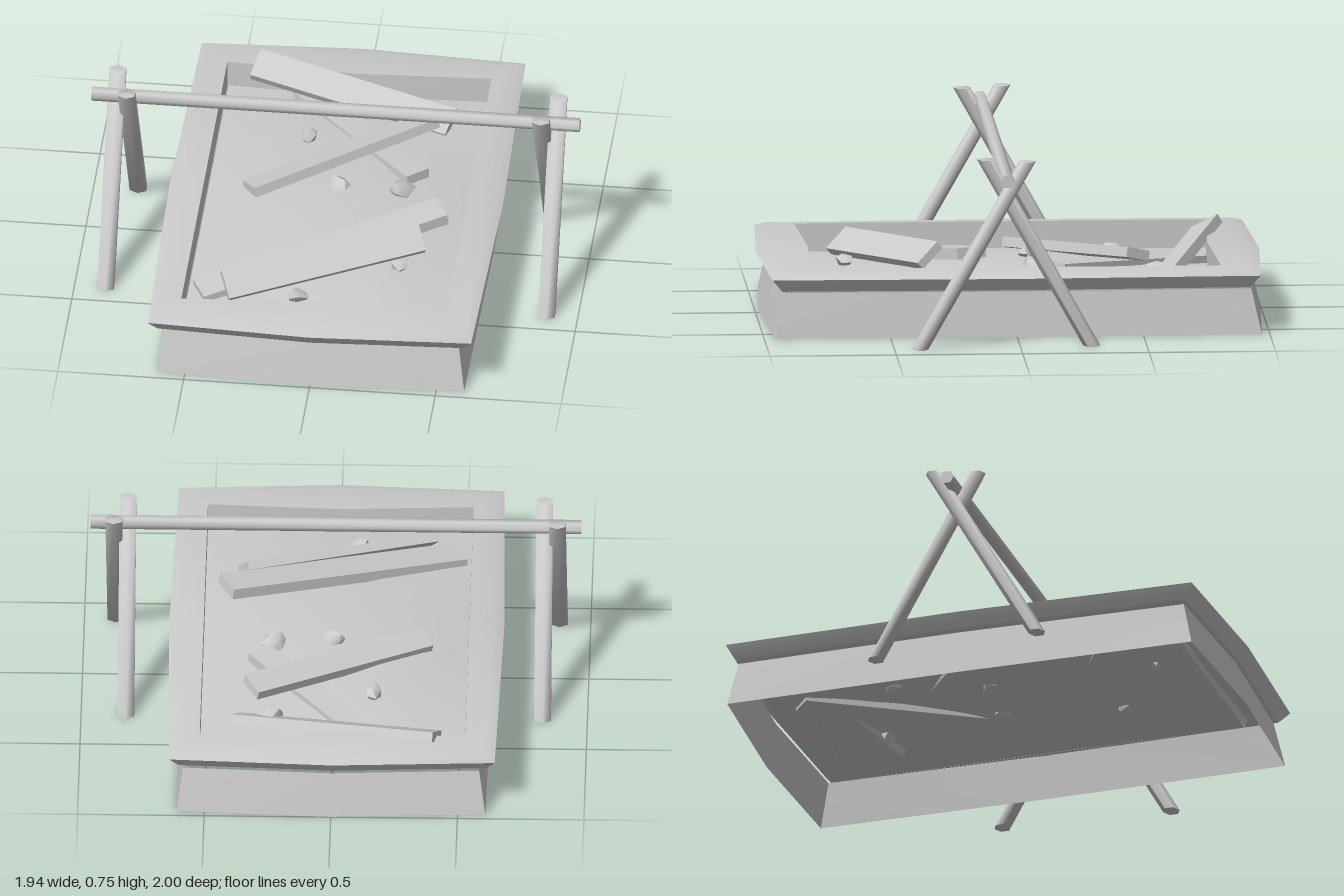
import * as THREE from 'three';
import { toCreasedNormals } from 'three/addons/utils/BufferGeometryUtils.js';

const grey = new THREE.MeshStandardMaterial({ color: 0xcccccc });
const greyDouble = new THREE.MeshStandardMaterial({ color: 0xcccccc, side: THREE.DoubleSide });

// Eight-point rectangular outline: corners (cx, cz) and side middles (mx, mz)
function outline([y, cx, cz, mx, mz]) {
  return [
    [cx, cz], [mx, 0], [cx, -cz], [0, -mz],
    [-cx, -cz], [-mx, 0], [-cx, cz], [0, mz],
  ].map(([x, z]) => [x, y, z]);
}

// Skin a series of outlines into a ring
function loft(levels, crease) {
  const loops = levels.map(outline);
  const n = loops[0].length;
  const pos = [];
  for (let l = 0; l < loops.length - 1; l++) {
    for (let i = 0; i < n; i++) {
      const j = (i + 1) % n;
      const a = loops[l][i], b = loops[l][j], c = loops[l + 1][j], d = loops[l + 1][i];
      pos.push(...a, ...b, ...c, ...a, ...c, ...d);
    }
  }
  const geo = new THREE.BufferGeometry();
  geo.setAttribute('position', new THREE.Float32BufferAttribute(pos, 3));
  geo.computeVertexNormals();
  return toCreasedNormals(geo, crease);
}

function add(parent, name, geo, mat = grey) {
  const mesh = new THREE.Mesh(geo, mat);
  mesh.name = name;
  parent.add(mesh);
  return mesh;
}

// Height of the gently mounded pit floor
const floorHeight = (x, z) => 0.15 + 0.07 * (1 - (x / 0.525) ** 2) * (1 - (z / 0.815) ** 2);

// Board between two end centres, rolled about its length
function plank(parent, from, to, width, thickness, roll) {
  const p = new THREE.Vector3(...from), q = new THREE.Vector3(...to);
  const along = q.clone().sub(p).normalize();
  const across = new THREE.Vector3().crossVectors(along, new THREE.Vector3(0, 1, 0)).normalize();
  const up = new THREE.Vector3().crossVectors(across, along);
  const mesh = add(parent, 'plank', new THREE.BoxGeometry(p.distanceTo(q), thickness, width));
  mesh.quaternion.setFromRotationMatrix(new THREE.Matrix4().makeBasis(along, up, across));
  mesh.rotateX(roll);
  mesh.position.copy(p).add(q).multiplyScalar(0.5);
}

// Lumpy pebble half sunk in the floor
function stone(parent, x, z, r, seed) {
  const geo = new THREE.IcosahedronGeometry(r, 0);
  const p = geo.attributes.position;
  const v = new THREE.Vector3();
  for (let i = 0; i < p.count; i++) {
    v.fromBufferAttribute(p, i);
    const k = 1 + 0.22 * Math.sin(v.x / r * 5 + v.y / r * 3 + v.z / r * 7 + seed);
    p.setXYZ(i, v.x * k * 1.05, v.y * k * 0.75, v.z * k * 0.85);
  }
  const mesh = add(parent, 'stone', toCreasedNormals(geo, 0.9));
  mesh.position.set(x, floorHeight(x, z) + 0.3 * r, z);
  mesh.rotation.y = seed;
}

export function createModel() {
  const model = new THREE.Group();

  // Open-bottomed base walls, leaning inwards
  const base = add(model, 'baseWall', loft([
    [0, 0.61, 0.962, 0.62, 0.992],
    [0.18, 0.585, 0.922, 0.602, 0.952],
  ], 0.1), greyDouble);
  base.position.z = -0.006;

  // Rounded rim with flat underside and inner wall
  const rim = add(model, 'rim', loft([
    [0.15, 0.525, 0.815, 0.525, 0.79],
    [0.182, 0.53, 0.825, 0.535, 0.81],
    [0.188, 0.605, 0.925, 0.62, 0.955],
    [0.205, 0.62, 0.938, 0.635, 0.97],
    [0.24, 0.643, 0.965, 0.662, 0.995],
    [0.254, 0.61, 0.92, 0.625, 0.95],
    [0.263, 0.525, 0.815, 0.525, 0.79],
    [0.15, 0.525, 0.815, 0.525, 0.79],
  ], 0.6), greyDouble);
  rim.position.set(-0.004, 0, 0.003);

  // Mounded floor of the pit
  const floorGeo = new THREE.PlaneGeometry(1.05, 1.63, 6, 8).rotateX(-Math.PI / 2);
  const fp = floorGeo.attributes.position;
  for (let i = 0; i < fp.count; i++) fp.setY(i, floorHeight(fp.getX(i), fp.getZ(i)));
  floorGeo.computeVertexNormals();
  add(model, 'floor', floorGeo, greyDouble);

  // Crossed legs with level ends, mirrored on both sides
  const H = 0.75;
  for (const side of [-1, 1]) {
    const frame = new THREE.Group();
    frame.name = side > 0 ? 'leftLegs' : 'rightLegs';
    for (const [x, zBottom, zTop] of [[0.876, 0.4, -0.025], [0.823, -0.283, 0.137]]) {
      const geo = new THREE.CylinderGeometry(0.034, 0.034, H, 6);
      geo.scale(1.12, 1, 1);
      geo.translate(0, H / 2, 0);
      const p = geo.attributes.position;
      for (let i = 0; i < p.count; i++) {
        p.setZ(i, p.getZ(i) + zBottom + (zTop - zBottom) * p.getY(i) / H);
      }
      geo.translate(side * x, 0, 0);
      add(frame, 'leg', toCreasedNormals(geo, 1.2));
    }
    model.add(frame);
  }

  // Crossbar resting in the crossed legs
  const bar = add(model, 'crossbar', toCreasedNormals(new THREE.CylinderGeometry(0.028, 0.028, 1.94, 6), 1.2));
  bar.rotation.z = Math.PI / 2;
  bar.position.set(0, 0.684, 0.057);

  // Fallen planks
  const planks = new THREE.Group();
  planks.name = 'planks';
  plank(planks, [-0.415, 0.262, -0.81], [0.385, 0.19, -0.59], 0.12, 0.04, 0.5);
  plank(planks, [-0.22, 0.16, -0.787], [0.3, 0.222, -0.17], 0.105, 0.04, 0);
  plank(planks, [-0.355, 0.205, -0.04], [0.325, 0.277, -0.495], 0.11, 0.04, -0.25);
  plank(planks, [-0.48, 0.16, 0.625], [0.435, 0.308, 0.17], 0.13, 0.045, 0);
  plank(planks, [-0.375, 0.22, 0.65], [0.37, 0.288, 0.33], 0.12, 0.035, 0.72);
  model.add(planks);

  // Scattered stones
  const stones = new THREE.Group();
  stones.name = 'stones';
  [
    [0.24, -0.575, 0.055], [-0.16, -0.42, 0.04], [0, -0.075, 0.04],
    [0.24, -0.085, 0.055], [0.29, 0.4, 0.045], [-0.09, 0.645, 0.04],
  ].forEach(([x, z, r], i) => stone(stones, x, z, r, i * 1.3));
  model.add(stones);

  return model;
}
